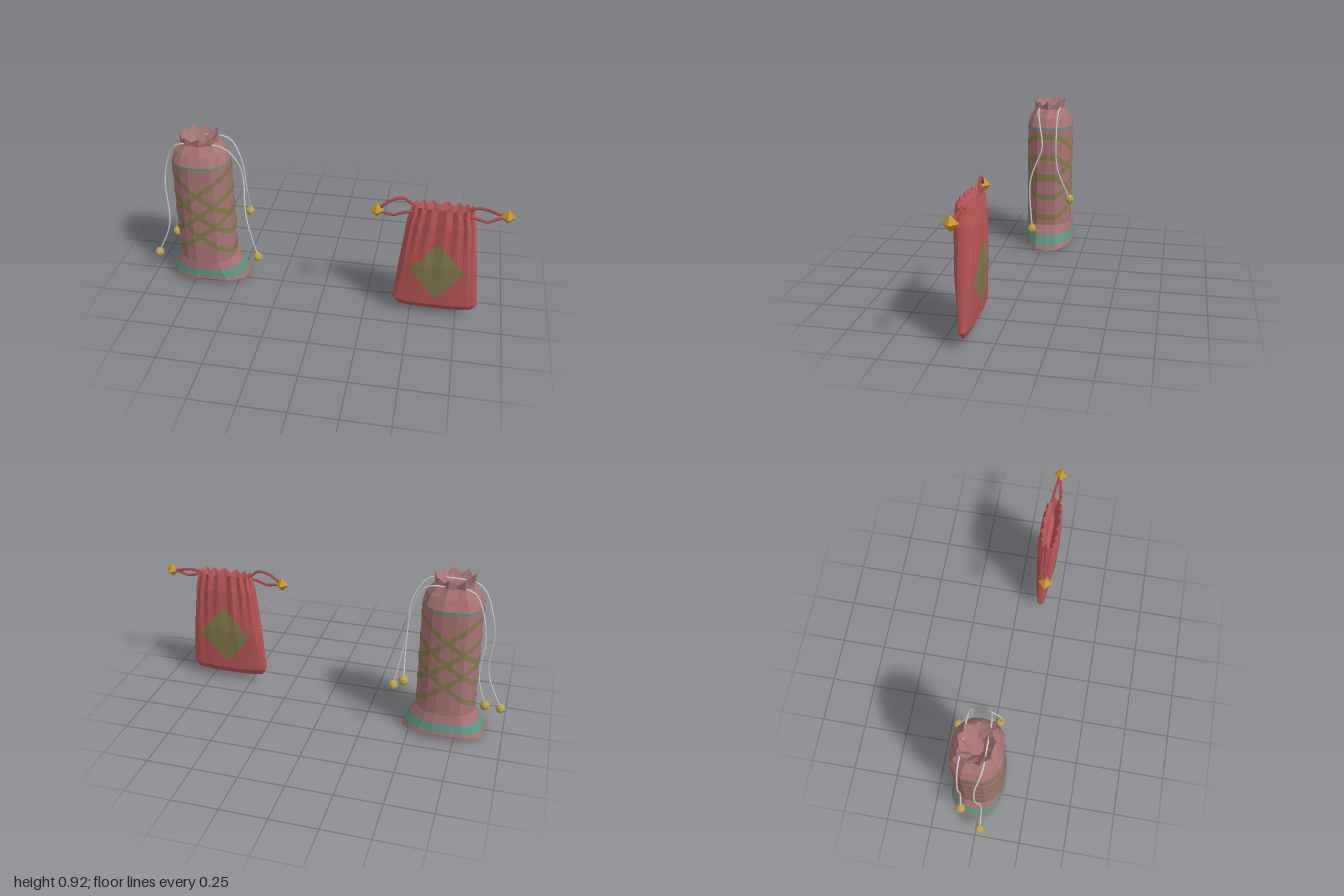
import * as THREE from 'three';

const V = (x, y, z) => new THREE.Vector3(x, y, z);
const mat = (color, flat = true) =>
  new THREE.MeshStandardMaterial({ color, flatShading: flat, side: THREE.DoubleSide });
const ROSE = mat(0xa87474), RED = mat(0xb85656), TEAL = mat(0x5f9482), OLIVE = mat(0x837a4c);
const BRASS = mat(0xb8a14e), GOLD = mat(0xc4942c), CORD = mat(0xcccccc, false), REDCORD = mat(0xa84a4e, false);

function mesh(name, geometry, material) {
  const m = new THREE.Mesh(geometry, material);
  m.name = name;
  return m;
}

// Skin rows of points, optionally wrapping around and closing both ends
function skin(rows, closed, capped) {
  const n = rows[0].length, pts = rows.flat(), idx = [];
  for (let j = 0; j < rows.length - 1; j++) {
    for (let i = 0; i < (closed ? n : n - 1); i++) {
      const a = j * n + i, b = j * n + (i + 1) % n;
      idx.push(a, a + n, b, b, a + n, b + n);
    }
  }
  if (capped) {
    [0, rows.length - 1].forEach((r) => {
      const c = pts.length, centre = V(0, 0, 0);
      rows[r].forEach((p) => centre.addScaledVector(p, 1 / n));
      pts.push(centre);
      for (let i = 0; i < n; i++) {
        const a = r * n + i, b = r * n + (i + 1) % n;
        if (r === 0) idx.push(c, a, b); else idx.push(c, b, a);
      }
    });
  }
  const g = new THREE.BufferGeometry().setFromPoints(pts);
  g.setIndex(idx);
  g.computeVertexNormals();
  return g;
}

// Squared-off oval coordinate
const pow = (t, e) => Math.sign(t) * Math.abs(t) ** e;

// Point on a lofted surface at fractional ring v and fractional side u
function onLoft(rings, v, u) {
  const n = rings[0].length, j = Math.min(Math.floor(v), rings.length - 2), i = Math.floor(u);
  const at = (r) => rings[r][i % n].clone().lerp(rings[r][(i + 1) % n], u - i);
  return at(j).lerp(at(j + 1), v - j);
}

function cord(name, points, radius, material) {
  const curve = new THREE.CatmullRomCurve3(points.map((p) => V(...p)), false, 'centripetal');
  return mesh(name, new THREE.TubeGeometry(curve, 20, radius, 6), material);
}

function tallBag() {
  const group = new THREE.Group();
  group.name = 'tallBag';
  const N = 18, CX = -0.682;
  // height, half width, half depth, centre z, pleat strength
  const levels = [
    [0.004, 0.165, 0.09, -0.025, 0], [0.05, 0.228, 0.15, -0.032, 0],
    [0.11, 0.185, 0.141, -0.026, 0], [0.16, 0.16, 0.135, -0.022, 0],
    [0.77, 0.157, 0.135, -0.022, 0], [0.825, 0.135, 0.112, -0.022, 0.03],
    [0.872, 0.094, 0.083, -0.022, 0.09], [0.908, 0.098, 0.086, -0.022, 0.07],
    [0.872, 0.07, 0.06, -0.022, 0.07], [0.83, 0.04, 0.035, -0.022, 0]];
  const rings = levels.map(([y, hx, hz, cz, pleat], r) => Array.from({ length: N }, (_, i) => {
    const a = (i / N) * Math.PI * 2, c = Math.cos(a), s = Math.sin(a), alt = i % 2 ? -1 : 1;
    const k = 1 + pleat * alt + 0.018 * Math.sin(i * 2.7 + (r > 4 ? 1 : 0));
    let h = y;
    if (r === 1) h -= 0.034 * c * c;
    if (r === 7) h += 0.014 * alt;
    return V(CX + pow(c, 0.85) * hx * k, h, cz + pow(s, 0.85) * hz * k);
  }));
  group.add(mesh('bagCloth', skin(rings, true, true), ROSE));

  // Painted bands lie just outside the cloth
  const steps = N * 4;
  const band = (name, low, high, material) => {
    const rows = [0, 0.25, 0.5, 0.75, 1].map((t) => Array.from({ length: steps }, (_, k) => {
      const u = k / 4, lo = low(u), p = onLoft(rings, lo + (high(u) - lo) * t, u);
      const out = V(p.x - CX, 0, (p.z + 0.022) * 1.2).normalize();
      return p.addScaledVector(out, 0.0025);
    }));
    group.add(mesh(name, skin(rows, true), material));
  };
  const bodyV = (y) => 3 + (y - 0.16) / 0.61;
  band('hemBand', () => 1.3, () => 1.98, TEAL);
  band('shoulderBand', () => bodyV(0.756), () => bodyV(0.77), TEAL);

  // Tilted hoops cross to form the lattice
  for (const slope of [-0.8, 0.8]) {
    for (const mid of [0.335, 0.465, 0.595]) {
      const y = (u) => mid + slope * (onLoft(rings, 3.5, u).x - CX);
      band('latticeBand', (u) => bodyV(y(u) - 0.017), (u) => bodyV(y(u) + 0.017), OLIVE);
    }
  }

  // Two drawstrings, each with two hanging ends
  const ends = [
    [[-0.68, 0.872, 0.03], [-0.56, 0.87, 0.03], [-0.52, 0.845, 0.022], [-0.47, 0.76, 0], [-0.452, 0.67, -0.012],
      [-0.43, 0.47, 0.055], [-0.38, 0.185, 0.035]],
    [[-0.68, 0.875, -0.09], [-0.56, 0.87, -0.09], [-0.52, 0.84, -0.09], [-0.475, 0.72, -0.09], [-0.462, 0.55, -0.1],
      [-0.466, 0.43, -0.145], [-0.472, 0.355, -0.177]],
    [[-0.68, 0.872, 0.03], [-0.78, 0.865, 0.03], [-0.83, 0.83, 0.02], [-0.872, 0.74, 0], [-0.9, 0.6, 0],
      [-0.89, 0.35, 0.024], [-0.974, 0.14, 0.026]],
    [[-0.68, 0.875, -0.09], [-0.78, 0.865, -0.09], [-0.815, 0.82, -0.092], [-0.845, 0.73, -0.092], [-0.862, 0.6, -0.092],
      [-0.85, 0.38, -0.092], [-0.895, 0.22, -0.09]]];
  for (const path of ends) {
    group.add(cord('drawstring', path, 0.0045, CORD));
    const bead = mesh('bead', new THREE.SphereGeometry(0.027, 8, 6), BRASS);
    bead.position.set(...path[path.length - 1]);
    group.add(bead);
  }
  return group;
}

function flatPouch() {
  const group = new THREE.Group();
  group.name = 'flatPouch';
  const N = 34, CX = 0.632, CZ = 0.137;
  // height, half width, half depth, pleat strength
  const levels = [
    [0.055, 0.2, 0.012, 0], [0.095, 0.23, 0.034, 0], [0.35, 0.204, 0.054, 0.02],
    [0.6, 0.176, 0.053, 0.11], [0.66, 0.162, 0.046, 0.17], [0.695, 0.158, 0.041, 0.17],
    [0.66, 0.145, 0.026, 0.17], [0.58, 0.13, 0.012, 0]];
  const rings = levels.map(([y, hx, hz, pleat], r) => Array.from({ length: N }, (_, i) => {
    const a = (i / N) * Math.PI * 2, c = Math.cos(a), s = Math.sin(a), alt = i % 2 ? -1 : 1;
    let h = y + (r < 2 ? 0.008 * c * c - 0.004 : 0);
    if (r === 5) h += 0.01 * alt;
    return V(CX + pow(c, 0.85) * hx, h,
      CZ + pow(s, 0.6) * hz * (1 + pleat * alt + 0.03 * Math.sin(i * 1.9)));
  }));
  group.add(mesh('pouchCloth', skin(rings, true, true), RED));

  // Depth of the cloth at x, y on the front (side 1) or back (side -1)
  const depth = (x, y, side) => {
    const v = y < 0.35 ? 1 + (y - 0.095) / 0.255 : 2 + (y - 0.35) / 0.25;
    const start = side > 0 ? 0 : N / 2;
    for (let i = start; i < start + N / 2; i++) {
      const p = onLoft(rings, v, i), q = onLoft(rings, v, i + 1);
      const t = (x - p.x) / (q.x - p.x);
      if (t >= 0 && t <= 1) return p.z + (q.z - p.z) * t;
    }
    return CZ;
  };
  for (const side of [1, -1]) {
    const rows = Array.from({ length: 25 }, (_, j) => {
      const t = j / 12 - 1, y = 0.32 + t * 0.183, w = 0.147 * (1 - Math.abs(t));
      return Array.from({ length: 25 }, (_, i) => {
        const x = 0.632 + side * w * (1 - i / 12);
        return V(x, y, depth(x, y, side) + side * 0.003);
      });
    });
    group.add(mesh(side > 0 ? 'frontDiamond' : 'backDiamond', skin(rows, false), OLIVE));
  }

  // Looped cords meeting at a faceted toggle on each side
  const loops = [
    [[0.5, 0.68, 0.13], [0.47, 0.7, 0.135], [0.43, 0.728, 0.14], [0.37, 0.712, 0.15], [0.3, 0.655, 0.16]],
    [[0.5, 0.665, 0.16], [0.45, 0.66, 0.163], [0.39, 0.64, 0.165], [0.35, 0.645, 0.165], [0.3, 0.655, 0.16]],
    [[0.77, 0.685, 0.125], [0.81, 0.698, 0.125], [0.86, 0.695, 0.128], [0.91, 0.682, 0.135], [0.957, 0.675, 0.14]],
    [[0.77, 0.665, 0.16], [0.82, 0.655, 0.162], [0.86, 0.645, 0.16], [0.91, 0.662, 0.15], [0.957, 0.675, 0.14]]];
  loops.forEach((path) => group.add(cord('pouchCord', path, 0.0075, REDCORD)));
  for (const p of [[0.3, 0.655, 0.16], [0.958, 0.675, 0.142]]) {
    const toggle = mesh('toggle', new THREE.OctahedronGeometry(0.04), GOLD);
    toggle.position.set(...p);
    group.add(toggle);
  }
  return group;
}

export function createModel() {
  const model = new THREE.Group();
  model.name = 'drawstringBags';
  model.add(tallBag(), flatPouch());
  return model;
}
